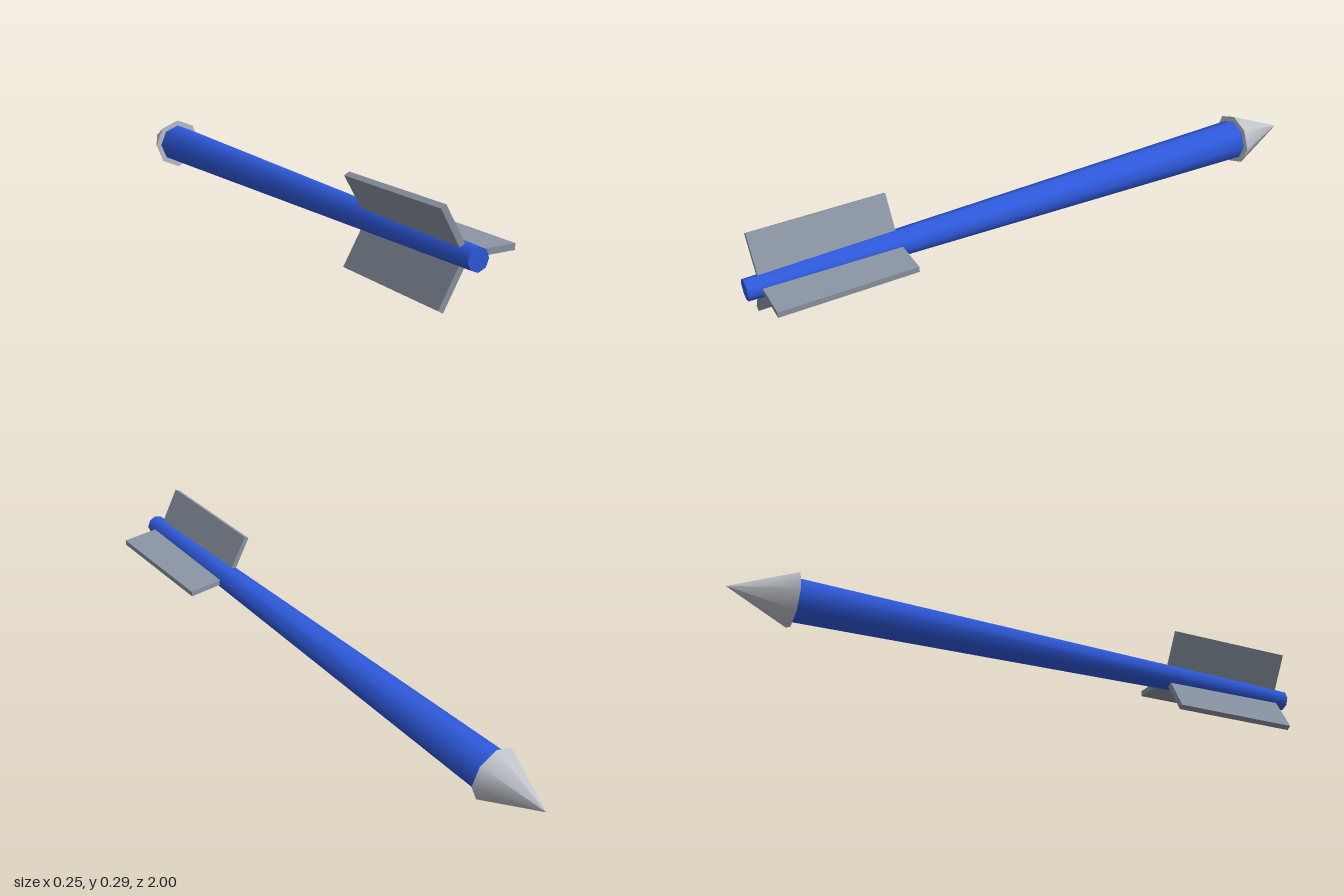
import * as THREE from 'three';

export function createModel() {
  const model = new THREE.Group();
  model.name = 'dart';
  const blue = new THREE.MeshStandardMaterial({ color: 0x2f5be0 });
  const steel = new THREE.MeshStandardMaterial({ color: 0xc0c4cc });
  const grey = new THREE.MeshStandardMaterial({ color: 0x8c96a5 });

  const add = (name, geometry, material) => {
    const mesh = new THREE.Mesh(geometry, material);
    mesh.name = name;
    model.add(mesh);
    return mesh;
  };

  // Eight-sided solid along z, from zFront to zBack
  const taper = (rBack, rFront, zFront, zBack) =>
    new THREE.CylinderGeometry(rBack, rFront, zFront - zBack, 8)
      .rotateX(-Math.PI / 2)
      .translate(0, 0, (zFront + zBack) / 2);

  // Shaft widening towards the pointed head
  add('shaft', taper(0.07, 0.035, 1, -0.8), blue);
  add('head', taper(0, 0.09, -0.8, -1), steel);

  // Three tail fins spaced evenly around the shaft
  const inner = 0.03, outer = 0.162;
  const finGeometry = new THREE.BoxGeometry(outer - inner, 0.019, 0.445)
    .translate((inner + outer) / 2, 0, 0.732);
  for (let i = 0; i < 3; i++) {
    add(`fin${i + 1}`, finGeometry, grey).rotation.z = (i * Math.PI * 2) / 3;
  }

  // The uneven fin spread puts the shaft axis off centre
  model.children.forEach((part) => part.position.set(-0.036, 0.145, 0));
  return model;
}
